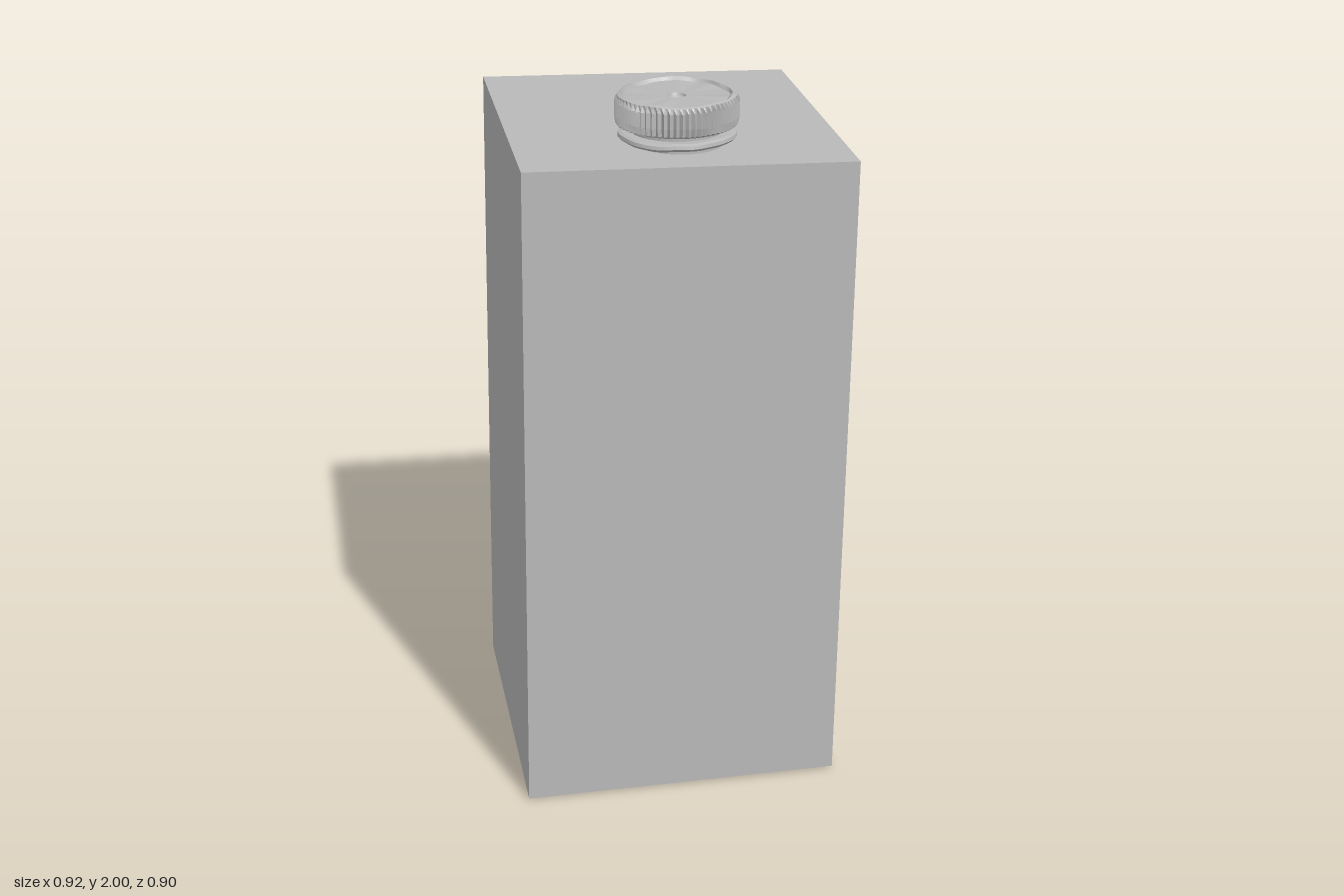
import * as THREE from 'three';

const grey = new THREE.MeshStandardMaterial({ color: 0xb8b8b8, flatShading: true });
grey.name = 'plain grey';

// small smooth irregularity around a circle, unique to each seed
const wobble = (a, seed) =>
  Math.sin(3 * a + seed) * 0.5 + Math.sin(7 * a + 2.3 * seed) * 0.3 + Math.sin(11 * a + 4.1 * seed) * 0.2;

// slightly leaning carton: a box whose corners are moved one by one
function cartonGeometry() {
  const g = new THREE.BoxGeometry(2, 2, 2);
  const corners = {
    '-1,-1,-1': [-0.46, 0.0, -0.453], '1,-1,-1': [0.437, 0.005, -0.45],
    '-1,-1,1': [-0.46, 0.005, 0.452], '1,-1,1': [0.435, 0.01, 0.452],
    '-1,1,-1': [-0.432, 1.887, -0.452], '1,1,-1': [0.457, 1.867, -0.45],
    '-1,1,1': [-0.435, 1.866, 0.435], '1,1,1': [0.457, 1.846, 0.435],
  };
  const p = g.attributes.position;
  for (let i = 0; i < p.count; i++) {
    const key = [p.getX(i), p.getY(i), p.getZ(i)].map(Math.round).join(',');
    p.setXYZ(i, ...corners[key]);
  }
  g.computeVertexNormals();
  return g;
}

// lathe whose points are shifted by a rule of profile index and angle
function roundPart(name, profile, segments, rule) {
  const g = new THREE.LatheGeometry(profile.map(([r, y]) => new THREE.Vector2(r, y)), segments);
  const p = g.attributes.position;
  const n = profile.length;
  for (let i = 0; i < p.count; i++) {
    const row = i % n;
    const column = Math.floor(i / n) % segments;
    const a = (column / segments) * Math.PI * 2;
    const [dr, dy] = rule(row, a, column);
    const r = profile[row][0] + dr;
    p.setXYZ(i, r * Math.sin(a), profile[row][1] + dy, r * Math.cos(a));
  }
  g.computeVertexNormals();
  const mesh = new THREE.Mesh(g, grey);
  mesh.name = name;
  return mesh;
}

export function createModel() {
  const group = new THREE.Group();
  group.name = 'carton';

  const body = new THREE.Mesh(cartonGeometry(), grey);
  body.name = 'cartonBody';
  group.add(body);

  const closure = new THREE.Group();
  closure.name = 'closure';
  closure.position.set(0.012, 0, 0.206);

  // ribbed screw cap with a worn rim and a central dimple
  const cap = roundPart('screwCap', [
    [0, 1.908], [0.15, 1.908], [0.161, 1.914], [0.164, 1.935], [0.164, 1.975],
    [0.159, 1.991], [0.15, 1.994], [0.143, 1.985],
    [0.025, 1.985], [0.022, 1.978], [0.013, 1.972], [0, 1.97],
  ], 128, (row, a, column) => {
    if (row >= 2 && row <= 4) return [(column % 2 ? -0.006 : 0.003) + 0.002 * wobble(a, row), 0.002 * wobble(a, 2)];
    if (row >= 5 && row <= 7) return [0.004 * wobble(a, row), 0.004 * wobble(a, 5)];
    return [0, 0];
  });
  closure.add(cap);

  // neck and tamper ring under the cap
  const neck = new THREE.Mesh(new THREE.CylinderGeometry(0.125, 0.125, 0.07, 48), grey);
  neck.name = 'neck';
  neck.position.y = 1.878;
  closure.add(neck);

  const ring = roundPart('tamperRing', [
    [0.125, 1.872], [0.152, 1.873], [0.159, 1.88], [0.157, 1.889], [0.148, 1.893], [0.125, 1.893],
  ], 64, (row, a) => (row > 0 && row < 5 ? [0.004 * wobble(a, 3), 0.002 * wobble(a, 1)] : [0, 0]));
  closure.add(ring);

  group.add(closure);
  return group;
}
